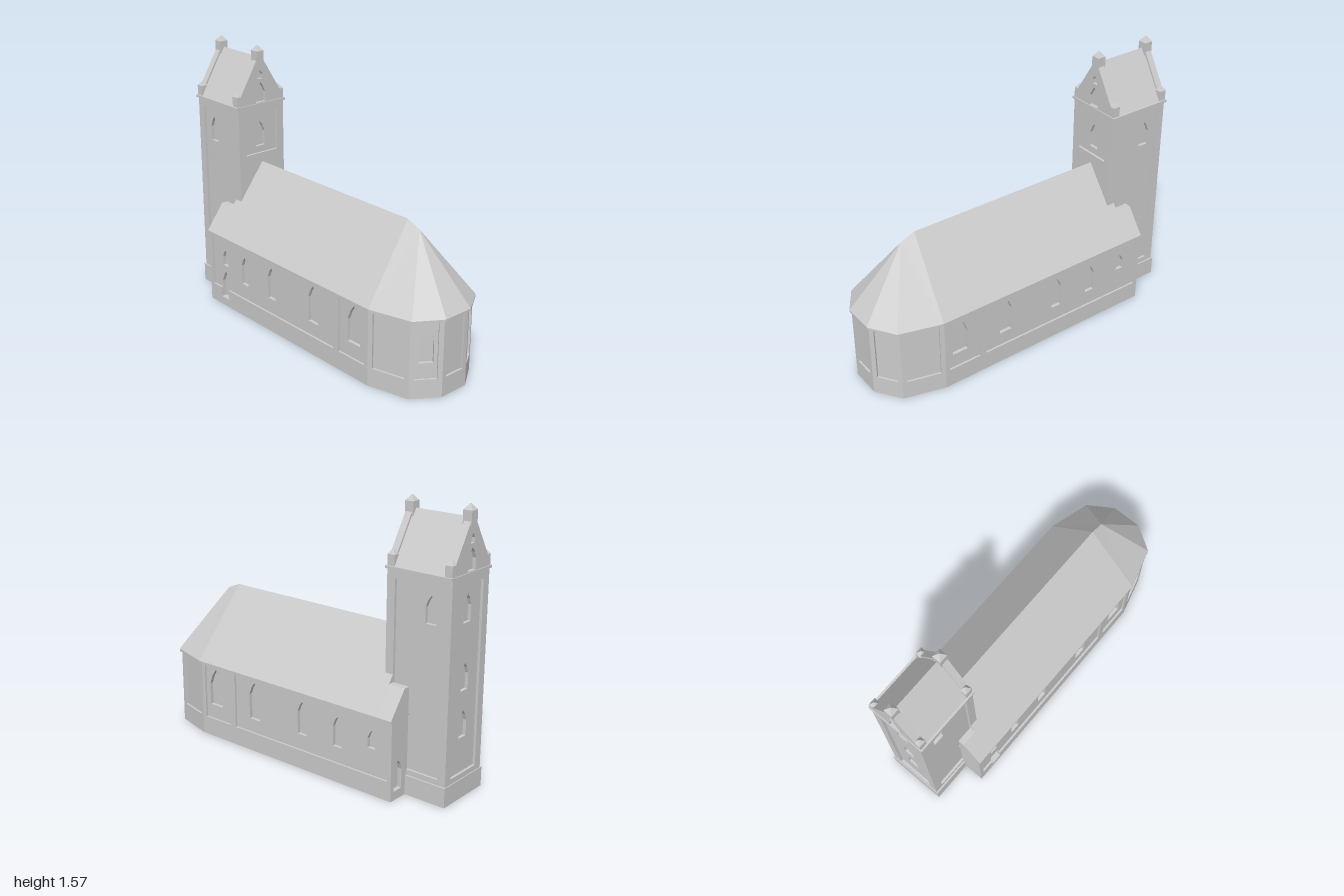
import * as THREE from 'three';

const stone = new THREE.MeshStandardMaterial({ color: 0xcccccc });
stone.name = 'pale stone';

// Pointed-arch outline centred on u, from y0 up to y1
function arch(u, w, y0, y1) {
  const s = y1 - Math.min(w * 0.95, (y1 - y0) * 0.5), h = w / 2;
  return [[u - h, y0], [u + h, y0], [u + h, s], [u + h * 0.6, s + (y1 - s) * 0.55], [u, y1],
    [u - h * 0.6, s + (y1 - s) * 0.55], [u - h, s]];
}
const rect = (u0, u1, y0, y1) => [[u0, y0], [u1, y0], [u1, y1], [u0, y1]];
const toVec = (pts) => pts.map(([x, y]) => new THREE.Vector2(x, y));

// Flat slab with holes; its front lies at z = front
function slab(name, outline, holes, front, depth) {
  const shape = new THREE.Shape(toVec(outline));
  for (const h of holes) shape.holes.push(new THREE.Path(toVec(h)));
  const geo = new THREE.ExtrudeGeometry(shape, { depth, bevelEnabled: false });
  geo.translate(0, 0, front - depth);
  const mesh = new THREE.Mesh(geo, stone);
  mesh.name = name;
  return mesh;
}

// Group whose local x runs along the ground from p to q, and z points outwards
function along(name, p, q) {
  const g = new THREE.Group();
  g.name = name;
  g.position.set(p[0], 0, p[1]);
  g.rotation.y = Math.atan2(p[1] - q[1], q[0] - p[0]);
  return g;
}

// Wall made of a raised frame over a sunken panel pierced by window niches
function facade(name, p, q, top, openings, windows, t = 0.012) {
  const L = Math.hypot(q[0] - p[0], q[1] - p[1]);
  const g = along(name, p, q);
  g.add(slab('frame', rect(0, L, 0, top), openings, 0, t));
  g.add(slab('panel', rect(t, L - t, 0.01, top), windows, -t, 0.02));
  return g;
}

function box(name, x0, x1, y0, y1, z0, z1) {
  const m = new THREE.Mesh(new THREE.BoxGeometry(x1 - x0, y1 - y0, z1 - z0), stone);
  m.name = name;
  m.position.set((x0 + x1) / 2, (y0 + y1) / 2, (z0 + z1) / 2);
  return m;
}

// Horizontal footprint [x, z] raised between y0 and y1
function floorSlab(name, pts, y0, y1) {
  const m = slab(name, pts.map(([x, z]) => [x, -z]), [], y1 - y0, y1 - y0);
  m.rotation.x = -Math.PI / 2;
  m.position.y = y0;
  return m;
}

function pinnacle(x, z, w, y0, y1, y2) {
  const g = new THREE.Group();
  g.name = 'pinnacle';
  g.add(box('pinnacleShaft', x - w / 2, x + w / 2, y0, y1, z - w / 2, z + w / 2));
  const cap = new THREE.Mesh(new THREE.ConeGeometry(w * 0.707, y2 - y1, 4).toNonIndexed(), stone);
  cap.geometry.rotateY(Math.PI / 4);
  cap.geometry.computeVertexNormals();
  cap.name = 'pinnacleCap';
  cap.position.set(x, (y1 + y2) / 2, z);
  g.add(cap);
  return g;
}

function createNave() {
  const nave = new THREE.Group();
  nave.name = 'nave';
  const c1 = [0.645, 0.3], c2 = [0.885, 0.235], c3 = [0.985, 0.09];
  const m = ([x, z]) => [x, -z];
  const W = -0.75, top = 0.45, o0 = 0.11, o1 = 0.438;

  // Long walls; the front one has a door cutting through the plinth
  const f = (x) => x - W, b = (x) => 0.645 - x;
  const doorPanel = [[f(-0.735), o0], [f(-0.645), o0], [f(-0.645), 0.05], [f(-0.575), 0.05],
    [f(-0.575), o0], [f(0.375), o0], [f(0.375), o1], [f(-0.735), o1]];
  facadeAdd('frontWall', [W, 0.3], c1, [doorPanel, rect(f(0.415), f(0.62), o0, o1)], [
    arch(f(-0.61), 0.07, 0.05, 0.22), arch(f(-0.61), 0.05, 0.26, 0.36), arch(f(-0.42), 0.06, 0.2, 0.375),
    arch(f(-0.17), 0.065, 0.2, 0.395), arch(f(0.195), 0.08, 0.19, 0.415), arch(f(0.525), 0.1, 0.195, 0.42)]);
  facadeAdd('backWall', m(c1), [W, -0.3], [rect(b(0.375), b(-0.735), o0, o1), rect(b(0.62), b(0.415), o0, o1)], [
    arch(b(-0.61), 0.05, 0.26, 0.36), arch(b(-0.38), 0.06, 0.2, 0.375), arch(b(-0.13), 0.065, 0.2, 0.395),
    arch(b(0.23), 0.08, 0.19, 0.415), arch(b(0.54), 0.1, 0.195, 0.42)]);

  // Five apse facets, one with a window
  const ring = [c1, c2, c3, m(c3), m(c2), m(c1)];
  for (let i = 0; i < 5; i++) {
    const p = ring[i], q = ring[i + 1], L = Math.hypot(q[0] - p[0], q[1] - p[1]);
    facadeAdd('apseWall', p, q, [rect(0.027, L - 0.027, o0, o1)], i === 1 ? [arch(L / 2, 0.08, 0.2, 0.4)] : []);
  }
  function facadeAdd(name, p, q, openings, windows) {
    nave.add(facade(name, p, q, top, openings, windows));
  }

  // Inner core closing the niches and the underside
  const core = [[-0.65, 0.268], [0.64, 0.268], [0.868, 0.208], [0.953, 0.08]];
  nave.add(floorSlab('naveCore', [...core, ...core.map(m).reverse()], 0, top));
  const eave = [[W, 0.31], [0.655, 0.31], [0.9, 0.24], [0.996, 0.092]];
  nave.add(floorSlab('eaves', [...eave, ...eave.map(m).reverse()], 0.443, 0.456));

  // Short wings beside the tower, the back one with a west door
  for (const s of [1, -1]) {
    const g = along('westWing', [W, 0], [W, 1]);
    const shape = (z) => {
      const pts = [[0.16, 0], [z, 0], [z, 0.455 + (0.31 - z) * 1.32], [0.197, 0.604], [0.16, 0.604]];
      return s > 0 ? pts : pts.map(([u, y]) => [-u, y]).reverse();
    };
    g.add(slab('wingFront', shape(0.3), s < 0 ? [arch(-0.24, 0.065, 0.05, 0.22)] : [], 0, 0.025));
    g.add(slab('wingBody', shape(0.268), [], -0.025, 0.075));
    nave.add(g);
  }

  // Roof: two slopes joined by a faceted hip over the apse
  const y = 0.456, A = [0.62, 0.865, 0], B = [0.705, 0.83, 0], R = [-0.65, 0.865, 0];
  const e = eave.map(([x, z]) => [x, y, z]);
  const k = [-0.65, y, 0.31], n = [-0.65, 0.605, 0.197], v = [W, 0.605, 0.197];
  const half = [[e[0], k, n], [e[0], n, v], [k, e[1], A], [k, A, R], [e[1], B, A], [e[1], e[2], B],
    [e[2], e[3], B], [e[3], [e[3][0], y, 0], B], [k, R, [-0.65, y, 0]]];
  const flip = ([px, py, pz]) => [px, py, -pz];
  const tris = [...half, ...half.map(([p, q, r]) => [flip(p), flip(r), flip(q)])];
  const geo = new THREE.BufferGeometry();
  geo.setAttribute('position', new THREE.Float32BufferAttribute(tris.flat(2), 3));
  geo.computeVertexNormals();
  const roof = new THREE.Mesh(geo, stone);
  roof.name = 'naveRoof';
  nave.add(roof);
  return nave;
}

function createTower() {
  const tower = new THREE.Group();
  tower.name = 'tower';
  const x0 = -0.995, x1 = -0.6, z = 0.165, top = 1.22, t = 0.015, w = x1 - x0;
  tower.add(box('towerCore', x0 + 0.034, x1 - 0.034, 0, top, -z + 0.034, z - 0.034));
  tower.add(box('towerPlinth', -1, -0.745, 0, 0.11, -0.175, 0.175));
  tower.add(box('cornice', -1, -0.597, 1.212, 1.226, -0.18, 0.18));

  // Four sides with sunken panels
  const win = (u, c = 1.035) => arch(u, 0.067, c - 0.075, c + 0.075);
  tower.add(facade('towerFront', [x0, z], [x1, z], top, [rect(0.05, w - 0.05, 0.14, 1.165)], [win(0.13)], t));
  tower.add(facade('towerBack', [x1, -z], [x0, -z], top, [rect(0.05, w - 0.05, 0.14, 1.165)], [win(w - 0.13)], t));
  tower.add(facade('towerEast', [x1, z], [x1, -z], top, [rect(0.05, 0.28, 0.92, 1.165)], [win(z)], t));
  tower.add(facade('towerWest', [x0, -z], [x0, z], top, [rect(0.05, 0.28, 0.14, 1.165)],
    [win(z), win(z, 0.67), win(z, 0.41)], t));

  // Saddle roof between the two gables
  const roof = along('towerRoof', [-0.65, 0], [-0.65, -1]);
  roof.add(slab('saddleRoof', [[-0.17, 1.222], [0.17, 1.222], [0, 1.5]], [], 0.01, 0.32));
  tower.add(roof);

  // Parapet gables with niches and pinnacles
  const outline = [[-z, top], [z, top], [z, 1.25], [0.15, 1.275], [0, 1.523], [-0.15, 1.275], [-z, 1.25]];
  for (const [x, s] of [[x1 - 0.003, -1], [x0, 1]]) {
    const g = along('gable', [x, 0], [x, s]);
    g.add(slab('gableFace', outline, [arch(0, 0.07, 1.23, 1.35), arch(0, 0.036, 1.37, 1.42)], 0, 0.02));
    g.add(slab('gableBack', outline, [], -0.02, 0.02));
    tower.add(g);
    const px = x + s * 0.022;
    tower.add(pinnacle(px, 0, 0.052, 1.46, 1.535, 1.568));
    for (const pz of [0.148, -0.148]) tower.add(pinnacle(px, pz, 0.044, 1.222, 1.285, 1.315));
  }
  return tower;
}

export function createModel() {
  const model = new THREE.Group();
  model.name = 'church';
  model.add(createNave(), createTower());
  return model;
}
